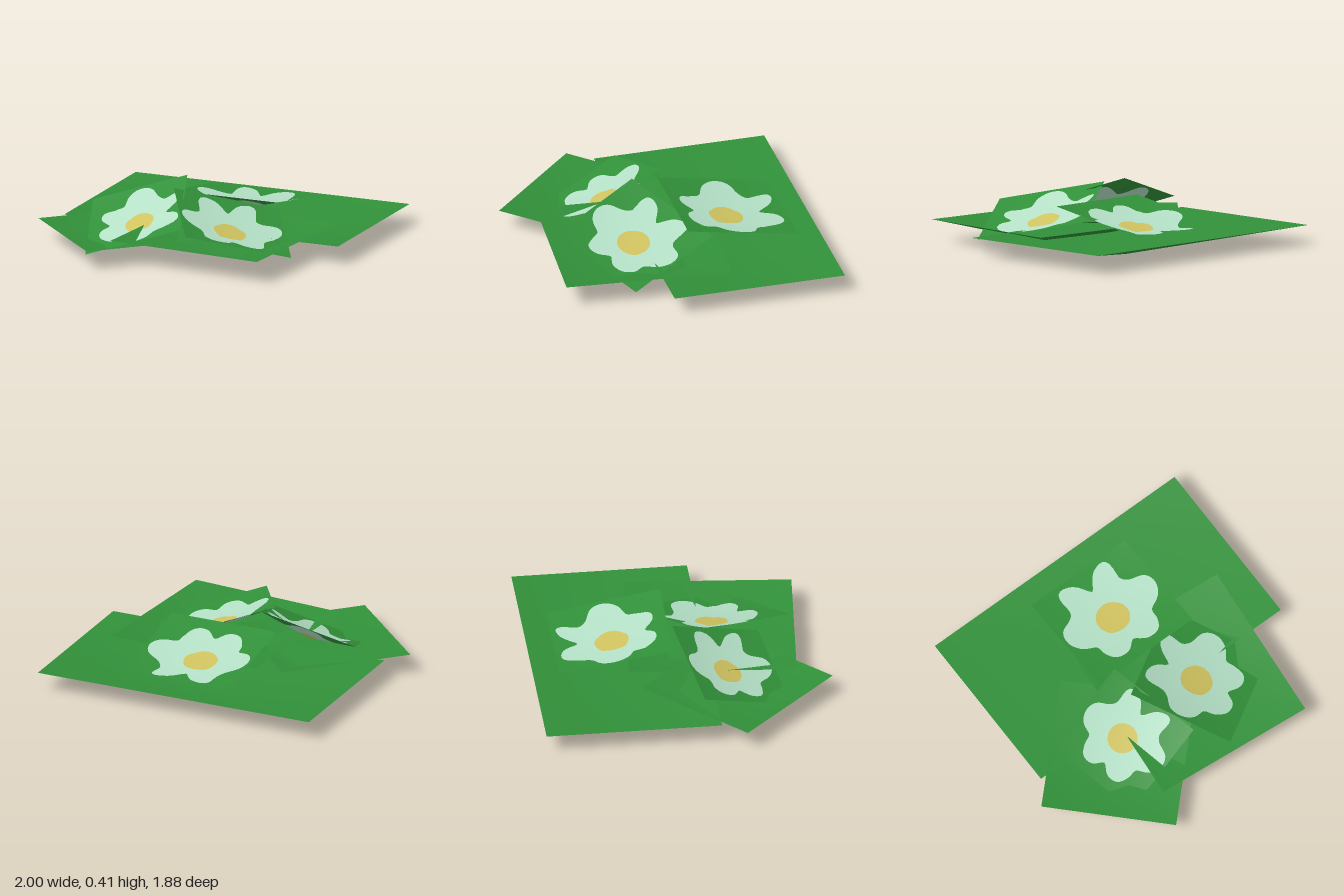
import * as THREE from 'three';

const mat = (name, color) => {
  const m = new THREE.MeshStandardMaterial({ color, side: THREE.DoubleSide });
  m.name = name;
  return m;
};

// Shallow dish: four corners (counter-clockwise from above) around a sunken middle
function leaf(name, corners, middle, material) {
  const g = new THREE.BufferGeometry();
  g.setAttribute('position', new THREE.Float32BufferAttribute([...corners.flat(), ...middle], 3));
  g.setIndex([0, 1, 2, 3].flatMap((i) => [4, i, (i + 1) % 4]));
  g.computeVertexNormals();
  const mesh = new THREE.Mesh(g, material);
  mesh.name = name;
  return mesh;
}

// Blossom outline: radius every 15 degrees, as a share of half the card's side
const PETALS = [64, 62, 50, 51, 69, 60, 40, 60, 69, 51, 51, 62, 64, 58, 46, 52, 58, 54, 41, 54, 59, 54, 47, 58]
  .map((r) => r / 68);
const STEPS = 96;

function petalRadius(angle) {
  const n = PETALS.length;
  const t = (angle / (Math.PI * 2)) * n;
  const i = Math.floor(t), f = t - i;
  const p = (k) => PETALS[(i + k + n) % n];
  const [a, b, c, d] = [p(-1), p(0), p(1), p(2)];
  return b + 0.5 * f * (c - a + f * (2 * a - 5 * b + 4 * c - d + f * (3 * (b - c) + d - a)));
}
const cardEdge = (a) => 1 / Math.max(Math.abs(Math.cos(a)), Math.abs(Math.sin(a)));

// Band between two outlines, lying on the dished card
function band(inner, outer, depth) {
  const pos = [], nor = [], idx = [];
  for (let i = 0; i <= STEPS; i++) {
    const a = (i / STEPS) * Math.PI * 2;
    for (const radius of [inner, outer]) {
      const r = radius(a), x = r * Math.cos(a), z = -r * Math.sin(a);
      pos.push(x, depth * (r / cardEdge(a) - 1), z);
      nor.push(...new THREE.Vector3(-0.13 * x, 1, -0.13 * z).normalize().toArray());
    }
    if (i < STEPS) {
      const k = i * 2;
      idx.push(k, k + 1, k + 3, k, k + 3, k + 2);
    }
  }
  const g = new THREE.BufferGeometry();
  g.setAttribute('position', new THREE.Float32BufferAttribute(pos, 3));
  g.setAttribute('normal', new THREE.Float32BufferAttribute(nor, 3));
  g.setIndex(idx);
  return g;
}

// Tilted square card carrying one blossom; right and back are its side directions
function flower(name, center, right, back, half, mats) {
  const group = new THREE.Group();
  group.name = name;
  const heart = () => 0.3;
  const parts = [
    ['flowerHeart', () => 0, heart, mats.yellow],
    ['petals', heart, petalRadius, mats.petal],
    ['flowerLeafBorder', petalRadius, cardEdge, mats.green],
  ];
  for (const [label, inner, outer, m] of parts) {
    const mesh = new THREE.Mesh(band(inner, outer, 0.26), m);
    mesh.name = label;
    group.add(mesh);
  }
  const x = new THREE.Vector3(...right).normalize();
  const y = new THREE.Vector3().crossVectors(x, new THREE.Vector3(...back)).normalize().negate();
  if (y.y < 0) y.negate();
  const z = new THREE.Vector3().crossVectors(x, y);
  group.quaternion.setFromRotationMatrix(new THREE.Matrix4().makeBasis(x, y, z));
  group.position.set(...center);
  group.scale.setScalar(half);
  return group;
}

export function createModel() {
  const mats = {
    green: mat('leafGreen', 0x319039),
    petal: mat('petalWhite', 0xb4e0c6),
    yellow: mat('heartYellow', 0xcfc25f),
  };
  const model = new THREE.Group();
  model.name = 'flowerPatch';

  // Ground leaves
  model.add(
    leaf('backLeaf', [[-0.89, 0.12, 0.175], [1, 0.12, 0.175], [1, 0.12, -0.94], [-0.89, 0.12, -0.94]],
      [0.225, 0, -0.43], mats.green),
    leaf('rightLeaf', [[-1, 0.122, 0.325], [-0.395, 0.122, 0.935], [0.21, 0.122, 0.325], [-0.395, 0.122, -0.28]],
      [-0.395, 0.01, 0.327], mats.green),
    leaf('leftLeaf', [[-0.33, 0.145, 0.715], [0.72, 0.145, 0.805], [0.815, 0.145, -0.25], [-0.235, 0.145, -0.34]],
      [0.242, 0.004, 0.232], mats.green),
  );

  // Blossoms
  model.add(
    flower('backFlower', [0.115, 0.228, -0.42], [1, 0, 0], [0, -0.125, -0.72], 0.365, mats),
    flower('rightFlower', [-0.335, 0.212, 0.3], [0.2, -0.2, 0.57], [0.59, 0.185, -0.13], 0.317, mats),
    flower('leftFlower', [0.305, 0.215, 0.247], [0.57, -0.165, -0.365], [-0.34, 0.135, -0.59], 0.348, mats),
  );
  return model;
}
